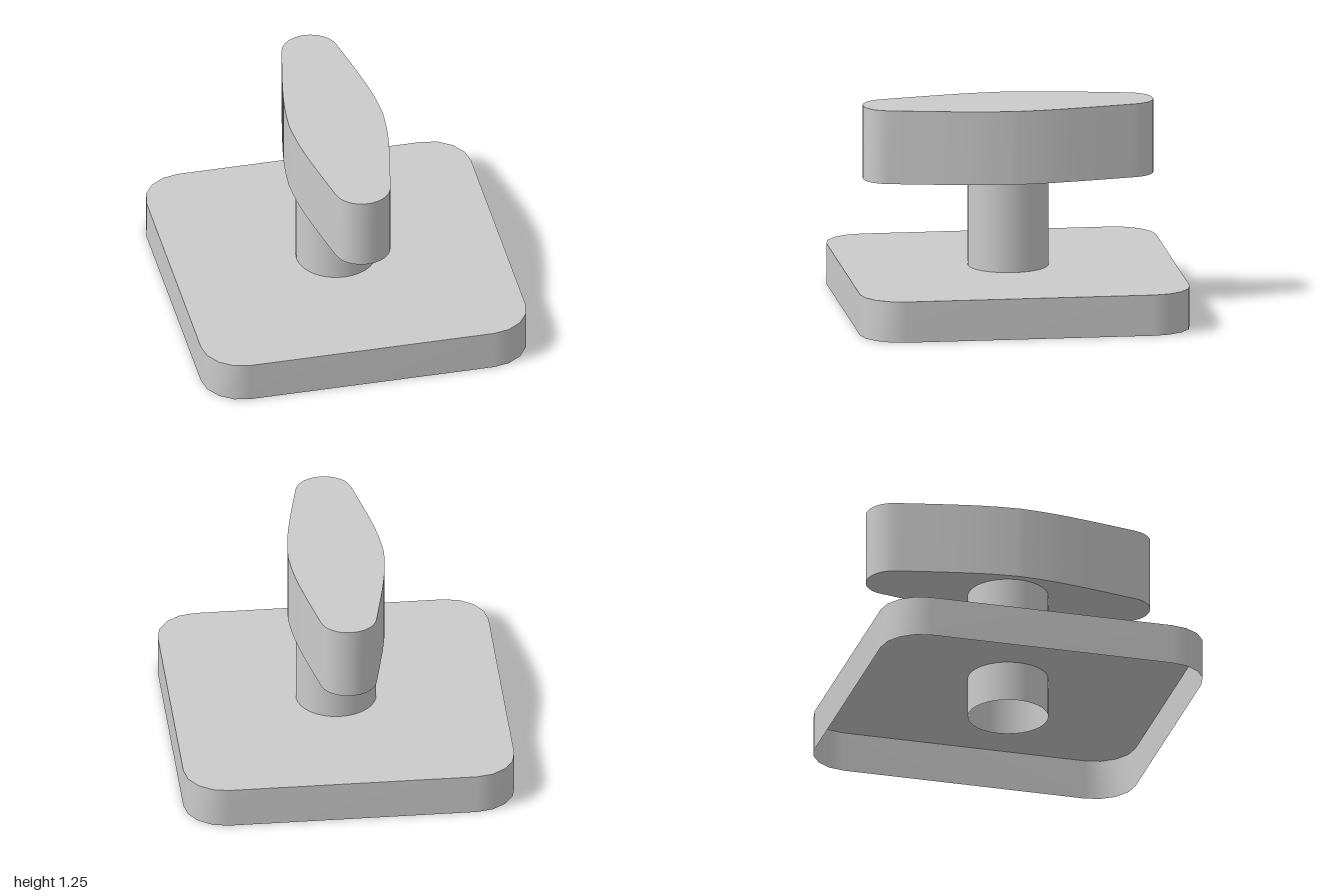
import * as THREE from 'three';

const material = new THREE.MeshStandardMaterial({ color: 0xcccccc, side: THREE.DoubleSide });

function addMesh(parent, name, geometry) {
  const mesh = new THREE.Mesh(geometry, material);
  mesh.name = name;
  parent.add(mesh);
}

// Smooth upright wall along a closed outline that runs anticlockwise seen from above
function wallGeometry(points, y0, y1) {
  const positions = [], indices = [], n = points.length;
  points.forEach((p, i) => {
    positions.push(p.x, y0, -p.y, p.x, y1, -p.y);
    const a = 2 * i, b = 2 * ((i + 1) % n);
    indices.push(a, b, b + 1, a, b + 1, a + 1);
  });
  const geometry = new THREE.BufferGeometry();
  geometry.setAttribute('position', new THREE.Float32BufferAttribute(positions, 3));
  geometry.setIndex(indices);
  geometry.computeVertexNormals();
  return geometry;
}

// Flat horizontal face, turned up or down
function capGeometry(points, y, up) {
  const geometry = new THREE.ShapeGeometry(new THREE.Shape(points));
  if (!up) geometry.rotateY(Math.PI); // outlines are mirror-symmetric
  return geometry.rotateX(-Math.PI / 2).translate(0, y, 0);
}

// Square outline with rounded corners
function roundedSquare(half, radius, segments) {
  const points = [], c = half - radius;
  for (let q = 0; q < 4; q++) {
    const cx = q === 0 || q === 3 ? c : -c;
    const cy = q < 2 ? c : -c;
    for (let i = 0; i <= segments; i++) {
      const a = (q + i / segments) * Math.PI / 2;
      points.push(new THREE.Vector2(cx + radius * Math.cos(a), cy + radius * Math.sin(a)));
    }
  }
  return points;
}

// Long tapered outline with rounded ends, from one mirrored quarter
function handleOutline() {
  const side = new THREE.SplineCurve([
    [0.29, 0], [0.275, 0.19], [0.237, 0.42], [0.168, 0.75],
  ].map(([x, y]) => new THREE.Vector2(x, y))).getPoints(12);
  const tip = new THREE.CubicBezierCurve(
    new THREE.Vector2(0.168, 0.75), new THREE.Vector2(0.15, 0.83),
    new THREE.Vector2(0.08, 0.88), new THREE.Vector2(0, 0.88),
  ).getPoints(8);
  const quarter = [...side, ...tip.slice(1)];
  const flip = (list, sx, sy) => list.map((p) => new THREE.Vector2(p.x * sx, p.y * sy));
  return [
    ...quarter,
    ...flip(quarter.slice(0, -1).reverse(), -1, 1),
    ...flip(quarter.slice(1), -1, -1),
    ...flip(quarter.slice(1, -1).reverse(), 1, -1),
  ];
}

export function createModel() {
  const model = new THREE.Group();
  model.name = 'turnHandle';

  // Base plate: a shallow shell, open underneath
  const base = new THREE.Group();
  base.name = 'base';
  const plate = roundedSquare(1, 0.25, 4);
  addMesh(base, 'baseWall', wallGeometry(plate, 0, 0.25));
  addMesh(base, 'baseTop', capGeometry(plate, 0.25, true));
  model.add(base);

  // Hollow stem running from the bottom of the base up to the handle
  const stem = new THREE.CylinderGeometry(0.243, 0.243, 0.8, 32, 1, true);
  addMesh(model, 'stem', stem.translate(0, 0.4, 0));

  // Grip
  const handle = new THREE.Group();
  handle.name = 'handle';
  const outline = handleOutline();
  addMesh(handle, 'handleWall', wallGeometry(outline, 0.8, 1.25));
  addMesh(handle, 'handleTop', capGeometry(outline, 1.25, true));
  addMesh(handle, 'handleBottom', capGeometry(outline, 0.8, false));
  model.add(handle);

  return model;
}
